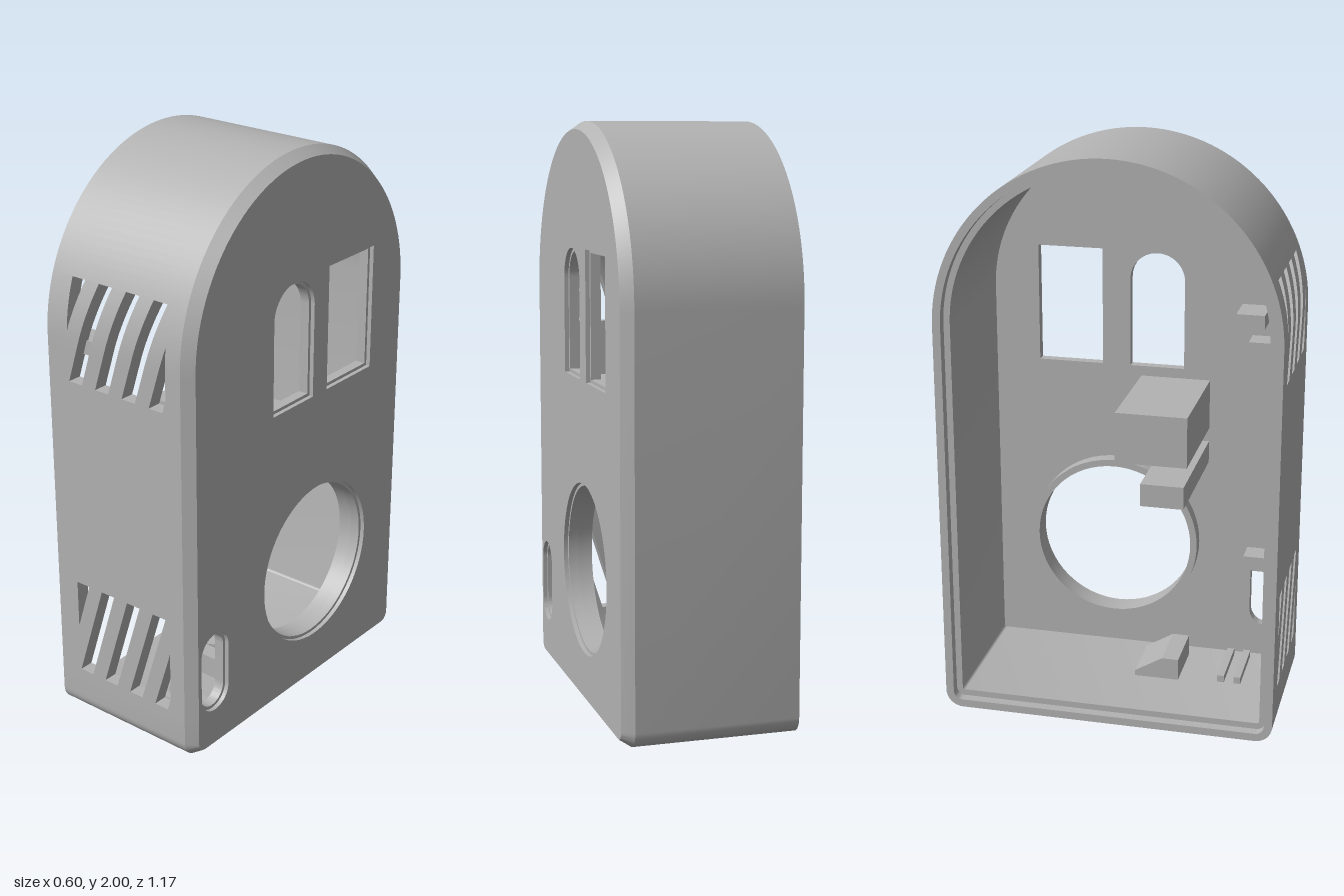
import * as THREE from 'three';
import { toCreasedNormals } from 'three/addons/utils/BufferGeometryUtils.js';

const R = 0.587, ARCH_Y = 2 - R, CORNER = 0.06;
const WALL = 0.05, BACK = -0.3, FRONT = 0.3, FACE_IN = 0.25;
const VENT_H = 0.35, VENTS = [0.17, 1.27];

// Arched outline as points with outward normals: up +z, over the top, down -z, along the base
function outline() {
  const pts = [];
  const add = (cz, cy, r, a, y) => pts.push({ cz, cy, r, a, y });
  const corner = (cz, a0) => {
    for (let i = 0; i <= 8; i++) add(cz, CORNER, CORNER, a0 + (i / 8) * Math.PI / 2);
  };
  const c = R - CORNER;
  corner(c, -Math.PI / 2);
  for (let i = 0; i <= 14; i++) add(c, VENTS[0] + VENT_H * i / 14, CORNER, 0);
  for (let i = 0; i < 6; i++) add(c, VENTS[1] + (ARCH_Y - VENTS[1]) * i / 6, CORNER, 0);
  const ventEnd = Math.asin((VENTS[1] + VENT_H - ARCH_Y) / R);
  for (let i = 0; i < 8; i++) add(0, ARCH_Y, R, ventEnd * i / 8);
  for (let i = 0; i <= 56; i++) add(0, ARCH_Y, R, ventEnd + (Math.PI - ventEnd) * i / 56);
  corner(-c, Math.PI);
  return pts;
}
const at = (p, d) => {
  const r = p.r - d;
  return [p.cz + r * Math.cos(p.a), p.cy + r * Math.sin(p.a)];
};

// Slanted vent slots: x interval of each slot at a height above the vent's foot
const slotsAt = h => [0, 1, 2, 3, 4].map(k => {
  const x = -0.326 + 0.114 * k + 0.317 * h;
  return [x, x + 0.056].map(v => Math.min(0.2, Math.max(-0.214, v)));
});

// Wall swept round the outline, with the vents left open
function wallGeometry() {
  const pts = outline(), pos = [];
  const vert = (p, d, x) => { const [z, y] = at(p, d); return [x, y, z]; };
  const quad = (a, b, c, d) => pos.push(...a, ...b, ...c, ...a, ...c, ...d);
  const profile = [[BACK, 0], [0.26, 0], [FRONT, 0.027], [FACE_IN, WALL],
    [-0.265, WALL], [-0.265, 0.028], [BACK, 0.028], [BACK, 0]];
  pts.forEach((p, i) => {
    const q = pts[(i + 1) % pts.length];
    const y0 = at(p, 0)[1], y1 = at(q, 0)[1];
    const foot = VENTS.find(v => at(p, 0)[0] > 0.3 && y0 > v - 1e-4 && y1 < v + VENT_H + 1e-4 && y1 > y0);
    for (let j = 0; j < profile.length - 1; j++) {
      const [xa, da] = profile[j], [xb, db] = profile[j + 1];
      if (j === 2) continue; // covered by the face plate
      if (foot !== undefined && (j === 0 || j === 3)) {
        const lo = Math.min(xa, xb), hi = Math.max(xa, xb);
        const e0 = [lo, ...slotsAt(y0 - foot).flat(), hi];
        const e1 = [lo, ...slotsAt(y1 - foot).flat(), hi];
        for (let k = 0; k < e0.length; k += 2) {
          const s = [vert(p, da, e0[k]), vert(p, da, e0[k + 1]), vert(q, da, e1[k + 1]), vert(q, da, e1[k])];
          quad(...(j === 0 ? s : s.reverse()));
        }
      } else quad(vert(p, da, xa), vert(p, db, xb), vert(q, db, xb), vert(q, da, xa));
    }
    if (foot === undefined) return;
    // Slot sides and ends
    const s0 = slotsAt(y0 - foot), s1 = slotsAt(y1 - foot);
    s0.forEach(([l0, r0], k) => {
      const [l1, r1] = s1[k];
      if (r0 - l0 < 1e-5 && r1 - l1 < 1e-5) return;
      quad(vert(p, 0, l0), vert(p, WALL, l0), vert(q, WALL, l1), vert(q, 0, l1));
      quad(vert(q, 0, r1), vert(q, WALL, r1), vert(p, WALL, r0), vert(p, 0, r0));
      if (Math.abs(y0 - foot) < 1e-3)
        quad(vert(p, WALL, l0), vert(p, 0, l0), vert(p, 0, r0), vert(p, WALL, r0));
      if (Math.abs(y1 - foot - VENT_H) < 1e-3)
        quad(vert(q, WALL, r1), vert(q, 0, r1), vert(q, 0, l1), vert(q, WALL, l1));
    });
  });
  const g = new THREE.BufferGeometry();
  g.setAttribute('position', new THREE.Float32BufferAttribute(pos, 3));
  return toCreasedNormals(g, 0.4);
}

// Openings in the face, shrunk by e; shape coordinates are (-z, y)
function openings(e) {
  const circle = new THREE.Path().absarc(0.09, 0.485, 0.297 - e, 0, Math.PI * 2);
  const arch = new THREE.Path();
  const r = 0.109 - e;
  arch.moveTo(-0.057 - r, 1.135 + e).lineTo(-0.057 + r, 1.135 + e);
  arch.absarc(-0.057, 1.465, r, 0, Math.PI).closePath();
  const rect = new THREE.Path().setFromPoints([[0.131 + e, 1.135 + e], [0.387 - e, 1.135 + e],
    [0.387 - e, 1.58 - e], [0.131 + e, 1.58 - e], [0.131 + e, 1.135 + e]].map(p => new THREE.Vector2(...p)));
  const pill = new THREE.Path(), pr = 0.071 - e;
  pill.absarc(0 - 0.473, 0.385, pr, 0, Math.PI).absarc(-0.473, 0.23, pr, Math.PI, Math.PI * 2).closePath();
  return [circle, arch, rect, pill];
}

function plateGeometry(shape, x, depth) {
  const g = new THREE.ExtrudeGeometry(shape, { depth, bevelEnabled: false, curveSegments: 32 });
  g.rotateY(Math.PI / 2).translate(x, 0, 0);
  return toCreasedNormals(g, 0.4);
}

export function createModel() {
  const group = new THREE.Group();
  const grey = new THREE.MeshStandardMaterial({ color: 0xb2b2b2 });
  grey.name = 'plain grey';
  const add = (name, geometry) => {
    const m = new THREE.Mesh(geometry, grey);
    m.name = name;
    group.add(m);
    return m;
  };
  const box = (name, x0, x1, y0, y1, z0, z1) =>
    add(name, new THREE.BoxGeometry(x1 - x0, y1 - y0, z1 - z0))
      .position.set((x0 + x1) / 2, (y0 + y1) / 2, (z0 + z1) / 2);

  add('ventedWall', wallGeometry());

  // Face in two layers, so each opening gets a small recessed rim
  const face = e => {
    const s = new THREE.Shape(outline().map(p => { const [z, y] = at(p, 0.027); return new THREE.Vector2(-z, y); }));
    s.holes = openings(e);
    return s;
  };
  add('faceOuterLayer', plateGeometry(face(0), 0.285, 0.015));
  add('faceInnerLayer', plateGeometry(face(0.011), FACE_IN, 0.035));

  // Sleeve behind the round opening
  const ring = new THREE.Shape().absarc(0.09, 0.485, 0.31, 0, Math.PI * 2);
  ring.holes = [openings(0.011)[0]];
  add('roundOpeningSleeve', plateGeometry(ring, 0.2, 0.05));

  // Inner supports between the windows and the round opening
  box('upperSupport', -0.16, 0.25, 0.93, 1.11, 0, 0.25);
  box('lowerSupport', -0.21, 0.25, 0.8, 0.88, 0.1, 0.25);
  box('sidePost', 0.12, 0.25, 1.35, 1.4, 0.36, 0.46);

  // Catches on the vented wall
  for (const y of [0.63, 1.385]) box('wallCatch', -0.22, -0.14, y - 0.025, y + 0.025, 0.46, 0.545);

  // Wedge and ribs on the floor
  const wedge = new THREE.Shape([[-0.2, 0.04], [-0.04, 0.04], [-0.04, 0.07], [-0.14, 0.13], [-0.2, 0.13]]
    .map(p => new THREE.Vector2(...p)));
  add('floorWedge', plateGeometry(wedge, -0.02, 0.2));
  for (const z of [0.34, 0.4]) box('floorRib', 0, 0.22, 0.04, 0.075, z, z + 0.025);

  return group;
}
